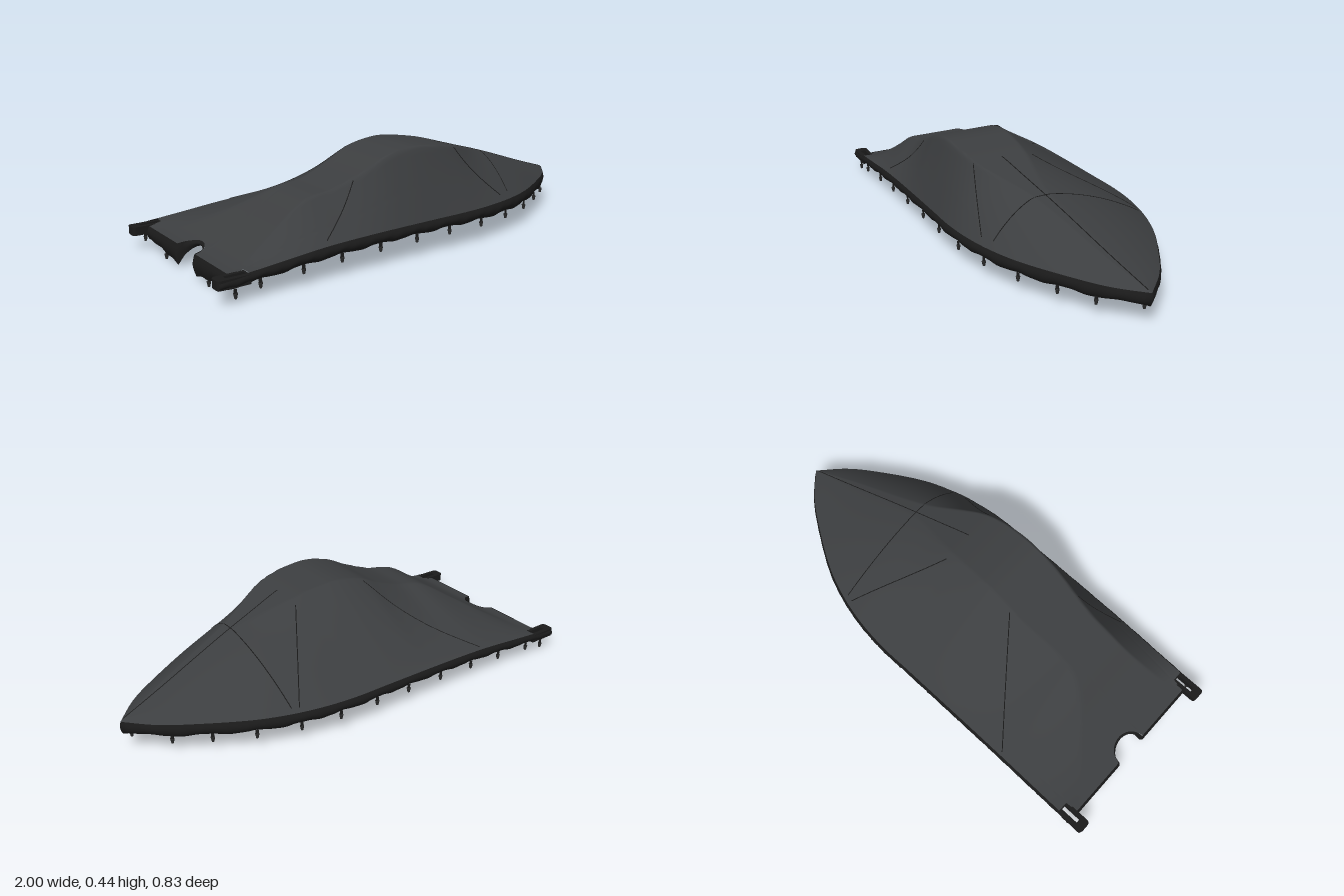
import * as THREE from 'three';

// Smooth curve through [x, value] knots (cubic Hermite), held flat past the ends
function curve(knots) {
  const slope = i => {
    const a = knots[Math.max(i - 1, 0)], b = knots[Math.min(i + 1, knots.length - 1)];
    return (b[1] - a[1]) / (b[0] - a[0]);
  };
  return x => {
    const n = knots.length;
    if (x <= knots[0][0]) return knots[0][1];
    if (x >= knots[n - 1][0]) return knots[n - 1][1];
    let i = 0;
    while (x > knots[i + 1][0]) i++;
    const [x0, y0] = knots[i], [x1, y1] = knots[i + 1];
    const h = x1 - x0, t = (x - x0) / h, t2 = t * t, t3 = t2 * t;
    return (2 * t3 - 3 * t2 + 1) * y0 + (t3 - 2 * t2 + t) * h * slope(i)
      + (3 * t2 - 2 * t3) * y1 + (t3 - t2) * h * slope(i + 1);
  };
}

// Half width, rim height, skirt bottom, crown height and crown edges along x
const halfWidth = curve([[-1, 0.405], [0, 0.405], [0.15, 0.405], [0.3, 0.39], [0.45, 0.355], [0.6, 0.295], [0.8, 0.175], [0.9, 0.1], [0.995, 0]]);
const rimTop = curve([[-1, 0.095], [-0.8, 0.113], [-0.5, 0.138], [0, 0.148], [0.6, 0.15], [0.995, 0.142]]);
const rimBottom = curve([[-1, 0.055], [-0.8, 0.07], [-0.5, 0.09], [0, 0.1], [0.5, 0.096], [0.995, 0.09]]);
const crown = curve([[-0.93, 0.093], [-0.87, 0.105], [-0.8, 0.14], [-0.7, 0.2], [-0.56, 0.285], [-0.43, 0.313], [-0.3, 0.362],
  [-0.2, 0.41], [-0.08, 0.435], [0.02, 0.43], [0.15, 0.408], [0.3, 0.365], [0.5, 0.305], [0.8, 0.205], [0.995, 0.144]]);
const crownRight = curve([[-0.93, -0.34], [-0.8, -0.18], [-0.56, 0.03], [-0.2, 0.03], [0.15, 0.05], [0.43, 0.09], [0.8, 0.03], [0.995, 0]]);
const crownLeft = curve([[-0.93, 0.35], [-0.8, 0.31], [-0.56, 0.27], [-0.2, 0.3], [0.15, 0.29], [0.43, 0.16], [0.8, 0.06], [0.995, 0]]);
const bulge = curve([[-0.9, 0], [0.1, 0.02], [0.43, 0.6], [0.995, 0.4]]);

// Height of the cloth at a point
function clothHeight(x, z) {
  const w = halfWidth(x), e = rimTop(x);
  if (w < 1e-4) return e;
  const a = Math.max(crownRight(x), -0.9 * w), b = Math.min(crownLeft(x), 0.9 * w);
  let t = 1;
  if (z > b) t = (w - z) / (w - b);
  else if (z < a) t = (w + z) / (w + a);
  t = Math.max(t, 0);
  return e + (crown(x) - e) * (t + bulge(x) * t * (1 - t));
}

// Rear edge: straight transom, round motor cutout, stepped corners
function rearEdge(z) {
  const a = Math.abs(z);
  if (a < 0.078) return -0.93 + 0.9 * Math.sqrt(0.078 ** 2 - a * a);
  return a > 0.357 ? -0.875 : -0.93;
}

// Grid surface from a rule giving [x, y, z] for u, v in 0..1
function grid(nu, nv, rule) {
  const pos = [], index = [];
  for (let i = 0; i <= nu; i++) for (let j = 0; j <= nv; j++) pos.push(...rule(i / nu, j / nv));
  for (let i = 0; i < nu; i++) for (let j = 0; j < nv; j++) {
    const a = i * (nv + 1) + j, c = a + nv + 1;
    index.push(a, a + 1, c, a + 1, c + 1, c);
  }
  const g = new THREE.BufferGeometry();
  g.setAttribute('position', new THREE.Float32BufferAttribute(pos, 3));
  g.setIndex(index);
  g.computeVertexNormals();
  return g;
}

export function createModel() {
  const group = new THREE.Group();
  const cloth = new THREE.MeshStandardMaterial({ color: 0x3c3e40, side: THREE.DoubleSide });
  const hem = new THREE.MeshStandardMaterial({ color: 0x1b1b1b, side: THREE.DoubleSide });
  const buckleMat = new THREE.MeshStandardMaterial({ color: 0x2c2c2c });
  const add = (geometry, material, name, parent = group) => {
    const m = new THREE.Mesh(geometry, material);
    m.name = name;
    parent.add(m);
    return m;
  };

  // Main cloth
  add(grid(130, 110, (u, v) => {
    const s = 2 * v - 1, x0 = rearEdge(s * 0.405);
    const x = x0 + (0.995 - x0) * u, z = s * halfWidth(x);
    return [x, clothHeight(x, z), z];
  }), cloth, 'coverCloth');

  // Gathered skirt from one rear corner round the bow to the other
  add(grid(240, 8, (u, v) => {
    const side = u < 0.5 ? 1 : -1;
    const x = -0.995 + 1.99 * (1 - Math.abs(1 - 2 * u));
    const top = rimTop(x), bottom = rimBottom(x) + 0.004 * Math.sin(x * 36);
    const out = 0.009 * Math.sin(Math.PI * Math.min(1, v * 1.1)) + 0.0015 * Math.sin(x * 90 + v * 4) * v - 0.008 * Math.max(0, v - 0.85) / 0.15;
    const nose = Math.max(0, (x - 0.6) / 0.4);
    return [x + out * nose * 0.5, top + (bottom - top) * v, side * (halfWidth(x) + out * (1 - 0.5 * nose)) * (x > 0.994 ? 0 : 1)];
  }), hem, 'sideSkirt');

  // Transom flap, following the motor cutout
  add(grid(120, 6, (u, v) => {
    const z = -0.36 + 0.72 * u, a = Math.abs(z);
    const x = a > 0.078 ? -0.93 : rearEdge(z);
    const top = clothHeight(x, z) + 0.002;
    const bottom = a < 0.078 ? 0.015 + 0.075 * Math.sqrt(1 - (a / 0.078) ** 2)
      : 0.01 + 0.027 * Math.min(1, (a - 0.078) / 0.2) + 0.003 * Math.sin(a * 60);
    return [x - 0.01 * Math.sin(Math.PI * v), top + (bottom - top) * v, z];
  }), hem, 'transomFlap');

  // Slotted rear corners
  for (const side of [1, -1]) {
    const s = new THREE.Shape();
    s.moveTo(-0.87, 0.353 * side);
    s.lineTo(-0.985, 0.353 * side);
    s.quadraticCurveTo(-1, 0.355 * side, -1, 0.37 * side);
    s.lineTo(-1, 0.395 * side);
    s.quadraticCurveTo(-1, 0.41 * side, -0.985, 0.41 * side);
    s.lineTo(-0.87, 0.41 * side);
    const slot = new THREE.Path();
    slot.moveTo(-0.96, 0.37 * side);
    slot.lineTo(-0.88, 0.37 * side);
    slot.lineTo(-0.88, 0.391 * side);
    slot.lineTo(-0.96, 0.391 * side);
    s.holes.push(slot);
    const g = new THREE.ExtrudeGeometry(s, { depth: 0.036, bevelEnabled: false });
    g.rotateX(Math.PI / 2);
    g.translate(0, 0.1, 0);
    add(g, hem, side > 0 ? 'leftRearCorner' : 'rightRearCorner');
  }

  // Stitched seams laid on the cloth: x, z start and end
  const seams = [[-0.54, -0.39, -0.2, 0.02], [-0.54, 0.39, -0.35, 0.29], [0.4, -0.35, 0.16, 0.02],
    [0.37, 0.36, 0.16, 0.29], [0.98, 0.005, 0.16, 0.16], [0.43, -0.34, 0.43, 0.34]];
  for (const [x0, z0, x1, z1] of seams) {
    const pts = [];
    for (let i = 0; i <= 24; i++) {
      const x = x0 + (x1 - x0) * i / 24, z = z0 + (z1 - z0) * i / 24;
      pts.push(new THREE.Vector3(x, clothHeight(x, z), z));
    }
    add(new THREE.TubeGeometry(new THREE.CatmullRomCurve3(pts), 48, 0.002, 5), hem, 'seam');
  }

  // Hanging strap buckles: webbing and clip
  const strap = (x, y, z, turn) => {
    const b = new THREE.Group();
    b.name = 'strapBuckle';
    add(new THREE.BoxGeometry(0.012, 0.02, 0.004), hem, 'webbing', b).position.y = -0.004;
    add(new THREE.CylinderGeometry(0.009, 0.005, 0.02, 8), buckleMat, 'clip', b).position.y = -0.02;
    b.position.set(x, y, z);
    b.rotation.y = turn;
    group.add(b);
  };
  for (const x of [-0.93, -0.83, -0.65, -0.48, -0.3, -0.12, 0.05, 0.23, 0.4, 0.57, 0.72, 0.85])
    for (const side of [1, -1]) {
      const turn = Math.atan2(halfWidth(x - 0.02) - halfWidth(x + 0.02), 0.04);
      strap(x, x < -0.9 ? 0.05 : rimBottom(x), side * (halfWidth(x) - 0.003), side * turn);
    }
  for (const side of [1, -1]) strap(-0.93, 0.03, side * 0.19, Math.PI / 2);
  strap(0.955, 0.09, 0, Math.PI / 2);

  return group;
}
